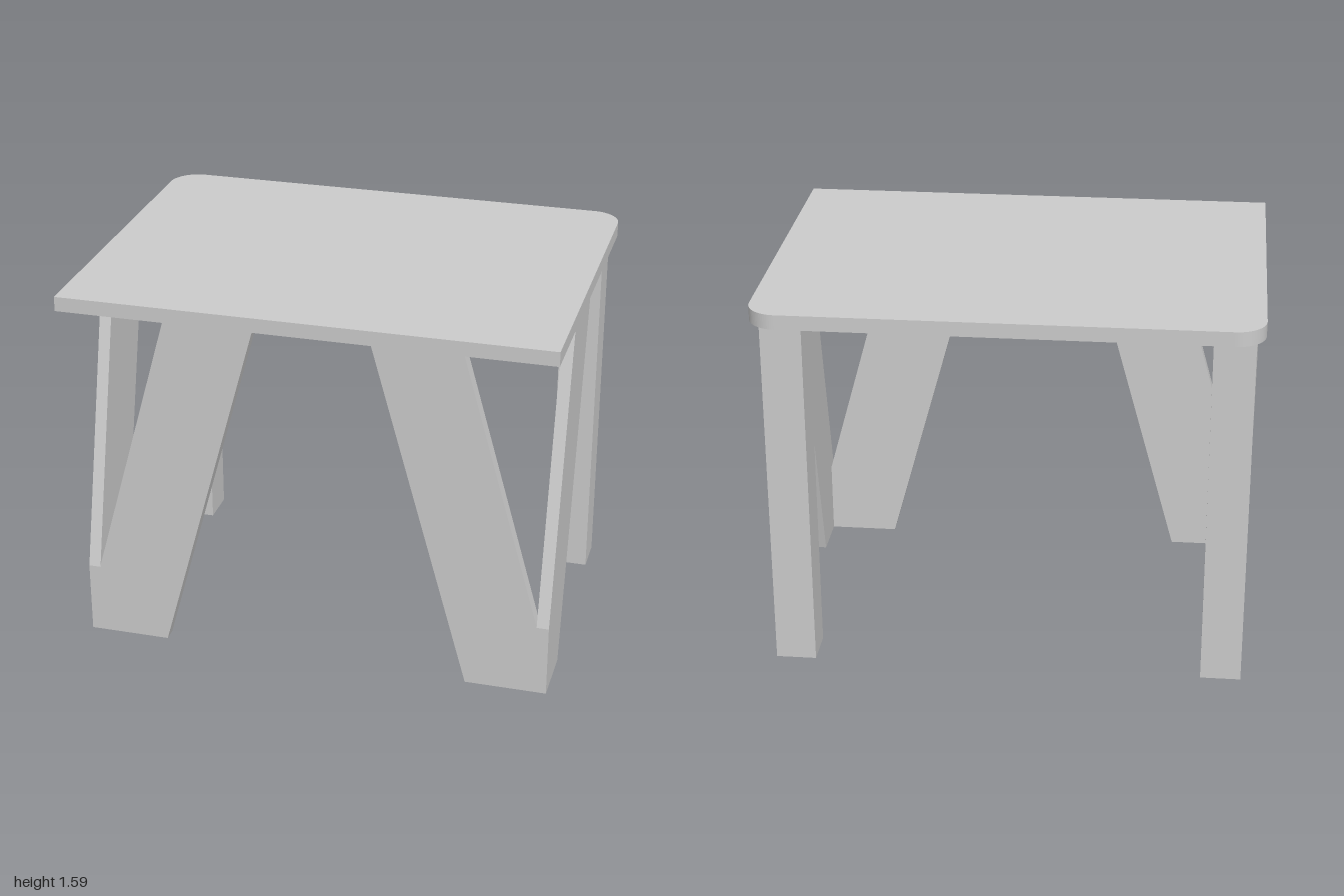
import * as THREE from 'three';

const material = new THREE.MeshStandardMaterial({ color: 0xcccccc });

const TOP_Y = 1.59, UNDER_Y = 1.53;   // tabletop faces
const OUT_X = 0.983, FRONT_Z = 0.6;   // outer corner of the front legs
const BOARD = 0.05;                   // leg board thickness

function addMesh(parent, name, geometry) {
  const mesh = new THREE.Mesh(geometry, material);
  mesh.name = name;
  parent.add(mesh);
  return mesh;
}

function extrude(shape, depth) {
  return new THREE.ExtrudeGeometry(shape, { depth, bevelEnabled: false, curveSegments: 10 });
}

function polygon(points) {
  return new THREE.Shape(points.map(([x, y]) => new THREE.Vector2(x, y)));
}

// Flat top: square front corners, rounded back corners
function tabletop() {
  const w = 1, d = 0.745, r = 0.12;
  const s = new THREE.Shape();
  s.moveTo(-w, -d);
  s.lineTo(w, -d);
  s.lineTo(w, d - r);
  s.absarc(w - r, d - r, r, 0, Math.PI / 2, false);
  s.lineTo(-w + r, d);
  s.absarc(-w + r, d - r, r, Math.PI / 2, Math.PI, false);
  s.closePath();
  return extrude(s, TOP_Y - UNDER_Y).rotateX(-Math.PI / 2).translate(0, UNDER_Y, 0);
}

// Slanted board facing the front, butting against the side board
function frontBoard(side) {
  const x = OUT_X - BOARD;
  const points = [[x, 0], [0.645, 0], [0.222, UNDER_Y], [0.592, UNDER_Y], [x, 0.31]];
  return extrude(polygon(points.map(([px, py]) => [px * side, py])), BOARD + 0.005)
    .translate(0, 0, FRONT_Z - BOARD - 0.005);
}

// Slanted board facing sideways, drawn in z and y
function sideBoard(side) {
  const points = [[FRONT_Z, 0], [0.338, 0], [-0.065, UNDER_Y], [0.282, UNDER_Y], [FRONT_Z, 0.305]];
  return extrude(polygon(points), BOARD)
    .rotateY(-Math.PI / 2)
    .translate(side > 0 ? OUT_X : -OUT_X + BOARD, 0, 0);
}

// Square post
function backPost(side) {
  const w = 0.165, foot = 0.005;
  return new THREE.BoxGeometry(w, UNDER_Y - foot, w)
    .translate(side * (0.8 + w / 2), (UNDER_Y + foot) / 2, -0.552);
}

export function createModel() {
  const table = new THREE.Group();
  table.name = 'table';
  addMesh(table, 'tabletop', tabletop());

  for (const [label, side] of [['left', 1], ['right', -1]]) {
    const leg = new THREE.Group();
    leg.name = `${label}FrontLeg`;
    addMesh(leg, `${label}FrontBoard`, frontBoard(side));
    addMesh(leg, `${label}SideBoard`, sideBoard(side));
    table.add(leg);
    addMesh(table, `${label}BackLeg`, backPost(side));
  }
  return table;
}
